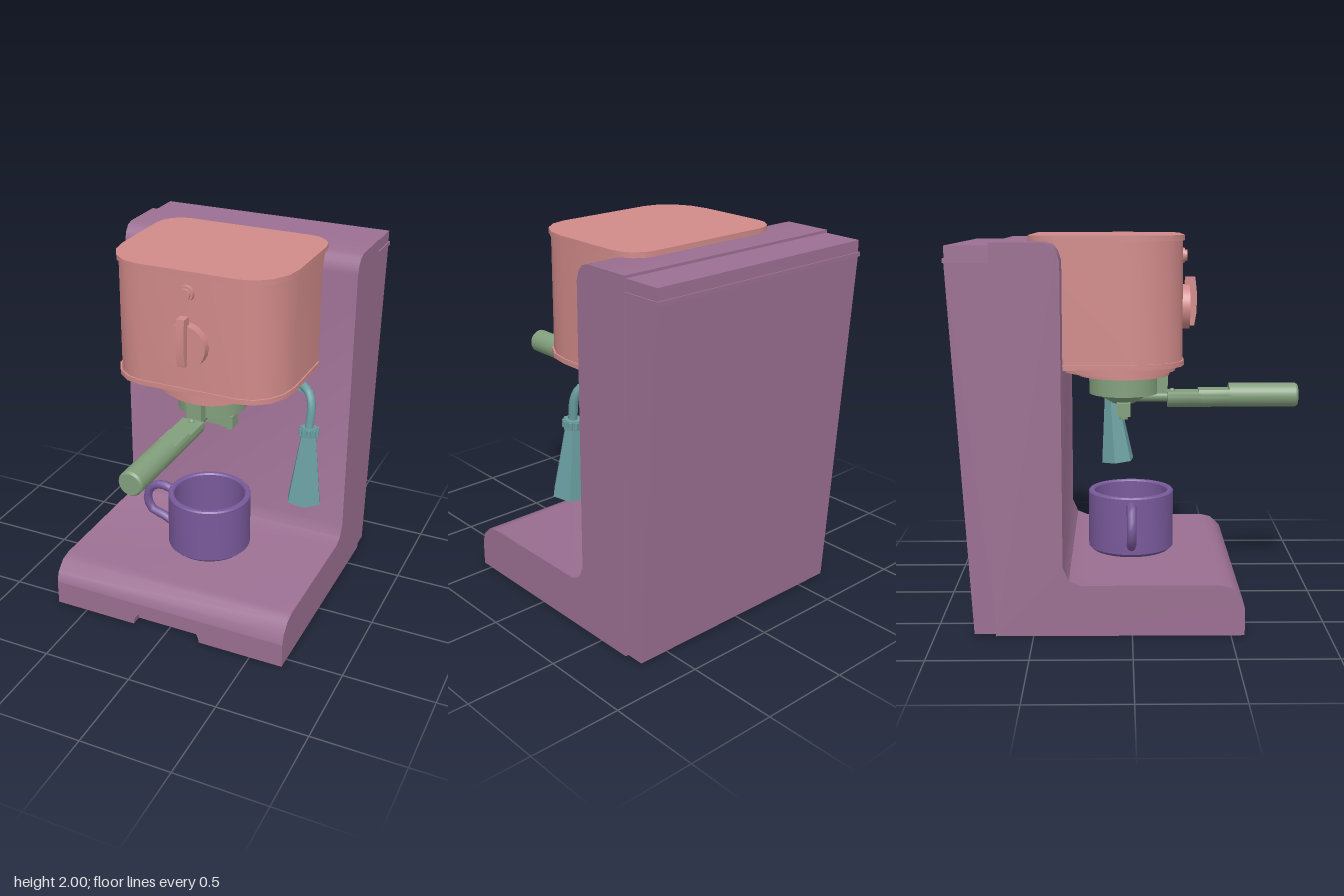
import * as THREE from 'three';
import { toCreasedNormals } from 'three/addons/utils/BufferGeometryUtils.js';

const mat = (color, extra = {}) => new THREE.MeshStandardMaterial({ color, ...extra });
const MAUVE = mat(0x9b6f92), CORAL = mat(0xd08a89), GREEN = mat(0x829f7c);
const TEAL = mat(0x6a9ea0), TEAL_FLAT = mat(0x6a9ea0, { flatShading: true });
const VIOLET = mat(0x78599a, { side: THREE.DoubleSide });

const V = (x, y, z) => new THREE.Vector3(x, y, z);

function add(parent, name, geometry, material, x = 0, y = 0, z = 0) {
  const mesh = new THREE.Mesh(geometry, material);
  mesh.name = name;
  mesh.position.set(x, y, z);
  parent.add(mesh);
  return mesh;
}

function group(parent, name) {
  const g = new THREE.Group();
  g.name = name;
  parent.add(g);
  return g;
}

const toShape = (pts) => new THREE.Shape(pts.map(([a, b]) => new THREE.Vector2(a, b)));
const extrude = (shape, depth) =>
  toCreasedNormals(new THREE.ExtrudeGeometry(shape, { depth, bevelEnabled: false, curveSegments: 10 }), 0.7);

// Side profile of [z, y] points, extruded across x and centred
const sideProfile = (pts, width) =>
  extrude(toShape(pts.map(([z, y]) => [-z, y])), width).translate(0, 0, -width / 2).rotateY(Math.PI / 2);

// Cylinder standing on y0, or lying along z from z0
const upright = (r0, r1, y0, y1, n = 32) =>
  new THREE.CylinderGeometry(r1, r0, y1 - y0, n).translate(0, (y0 + y1) / 2, 0);
const forward = (r, z0, z1, n = 28) =>
  new THREE.CylinderGeometry(r, r, z1 - z0, n).rotateX(Math.PI / 2).translate(0, 0, (z0 + z1) / 2);
const box = (w, h, d) => new THREE.BoxGeometry(w, h, d);

// Plan of the brew head: large front corners, smaller back corners
function headGeometry(inset, y0, y1) {
  const hw = 0.498 - inset, front = 0.273 - inset, back = -0.525 + inset;
  const pts = [];
  const corner = (sx, sz, r, rz, a0) => {
    const cx = sx * (hw - r), cz = sz > 0 ? front - rz : back + rz;
    for (let i = 0; i <= 4; i++) {
      const a = a0 + (i / 4) * Math.PI / 2;
      pts.push([cx + r * Math.cos(a), -(cz + rz * Math.sin(a))]);
    }
  };
  corner(1, 1, 0.22, 0.26, 0);
  corner(-1, 1, 0.22, 0.26, Math.PI / 2);
  corner(-1, -1, 0.14, 0.15, Math.PI);
  corner(1, -1, 0.14, 0.15, Math.PI * 1.5);
  return extrude(toShape(pts), y1 - y0).rotateX(-Math.PI / 2).translate(0, y0, 0);
}

function buildBody(parent) {
  const g = group(parent, 'body');
  // L-shaped frame, set back at the foot for the arched recess
  add(g, 'frame', sideProfile([
    [0.51, 0], [0.51, 0.14], [0.57, 0.14], [0.555, 0.195], [0.5, 0.25], [0.44, 0.265],
    [-0.26, 0.265], [-0.32, 0.29], [-0.35, 0.36], [-0.35, 1.88], [-0.365, 1.93],
    [-0.39, 1.96], [-0.43, 1.972], [-0.69, 1.972], [-0.69, 0],
  ], 1.37), MAUVE);
  const lip = new THREE.Shape();
  lip.moveTo(-0.685, 0).lineTo(-0.2, 0);
  lip.absellipse(0, 0, 0.2, 0.132, Math.PI, 0, true);
  lip.lineTo(0.685, 0).lineTo(0.685, 0.14).lineTo(-0.685, 0.14);
  add(g, 'archedFrontLip', extrude(lip, 0.06), MAUVE, 0, 0, 0.51);
  // Tapered back cover with its cap
  add(g, 'backCover', sideProfile([[-0.68, 0.01], [-0.8, 0.01], [-0.904, 1.88], [-0.68, 1.88]], 1.355), MAUVE);
  add(g, 'coverSeam', sideProfile([[-0.69, 1.875], [-0.91, 1.875], [-0.91, 1.897], [-0.69, 1.897]], 1.37), MAUVE);
  add(g, 'coverCap', sideProfile([[-0.68, 1.89], [-0.902, 1.89], [-0.902, 1.958], [-0.68, 1.958]], 1.355), MAUVE);
}

function buildHead(parent) {
  const g = group(parent, 'brewHead');
  add(g, 'headShell', headGeometry(0.008, 1.34, 1.99), CORAL);
  add(g, 'bottomRim', headGeometry(0, 1.33, 1.357), CORAL);
  add(g, 'topRim', headGeometry(0, 1.972, 2), CORAL);
  add(g, 'upperCollar', upright(0.313, 0.313, 1.27, 1.34), CORAL, 0, 0, -0.07);
  add(g, 'lowerCollar', upright(0.25, 0.25, 1.243, 1.28), CORAL, 0, 0, -0.04);
  add(g, 'dial', forward(0.12, 0.25, 0.315, 32), CORAL, 0, 1.61);
  add(g, 'dialGrip', sideProfile([
    [0.3, 1.51], [0.342, 1.51], [0.354, 1.58], [0.356, 1.68], [0.346, 1.77], [0.292, 1.77], [0.29, 1.7],
  ], 0.044), CORAL);
  add(g, 'buttonRing', forward(0.042, 0.25, 0.288), CORAL, 0, 1.885);
  add(g, 'button', forward(0.03, 0.28, 0.302), CORAL, 0, 1.885);
}

function buildFilterHolder(parent) {
  const g = group(parent, 'filterHolder');
  add(g, 'basket', upright(0.188, 0.188, 1.14, 1.25), GREEN, 0, 0, -0.04);
  add(g, 'basketFunnel', upright(0.06, 0.15, 1.085, 1.14), GREEN, 0, 0, -0.04);
  add(g, 'frontLug', box(0.085, 0.105, 0.09), GREEN, 0, 1.192, 0.155);
  // Twin spout
  add(g, 'spoutBar', box(0.2, 0.05, 0.07), GREEN, 0, 1.06, -0.04);
  for (const s of [-1, 1]) {
    add(g, 'spoutEnd', box(0.075, 0.07, 0.075), GREEN, s * 0.1, 1.063, -0.04);
    add(g, 'spoutNozzle', upright(0.024, 0.024, 1.01, 1.04, 12), GREEN, s * 0.1, 0, -0.04);
  }
  add(g, 'neck', forward(0.03, 0.02, 0.24, 16), GREEN, 0, 1.12);
  // Handle: round grip, then two sections with flattened tops
  const grip = (name, top, z0, z1) => {
    const a = Math.asin(top / 0.066);
    const s = new THREE.Shape();
    s.absarc(0, 0, 0.066, Math.PI - a, a + Math.PI * 2, false);
    s.closePath();
    add(g, name, extrude(s, z1 - z0), GREEN, 0, 1.126, z0);
  };
  grip('handleRoot', 0.022, 0.2, 0.38);
  grip('handleMiddle', 0.034, 0.37, 0.545);
  add(g, 'handleGrip', forward(0.066, 0.535, 0.9), GREEN, 0, 1.126);
  add(g, 'handleEnd', new THREE.CylinderGeometry(0.057, 0.066, 0.012, 28).rotateX(Math.PI / 2), GREEN, 0, 1.126, 0.906);
  add(g, 'handlePin', new THREE.SphereGeometry(0.017, 12, 8), GREEN, 0, 1.148, 0.225);
}

function buildSteamWand(parent) {
  const g = group(parent, 'steamWand');
  const path = new THREE.CatmullRomCurve3([
    V(0.27, 1.315, -0.34), V(0.34, 1.3, -0.28), V(0.45, 1.28, -0.2),
    V(0.515, 1.255, -0.155), V(0.54, 1.2, -0.13), V(0.54, 1.05, -0.105),
  ]);
  add(g, 'pipe', new THREE.TubeGeometry(path, 20, 0.024, 10), TEAL);
  add(g, 'pipeClip', box(0.06, 0.05, 0.06), TEAL, 0.445, 1.268, -0.2).rotation.set(0, 0.6, -0.5);
  // Knurled collar and faceted bell share a slightly tilted axis
  const tip = group(g, 'wandTip');
  tip.position.set(0.54, 1.05, -0.11);
  tip.rotation.x = -0.09;
  add(tip, 'collar', upright(0.046, 0.046, -0.025, 0.025, 20), TEAL);
  for (let i = 0; i < 10; i++) {
    const a = (i / 10) * Math.PI * 2;
    add(tip, 'collarRib', upright(0.012, 0.012, -0.02, 0.02, 8), TEAL, 0.045 * Math.cos(a), 0, 0.045 * Math.sin(a));
  }
  add(tip, 'bell', new THREE.CylinderGeometry(0.045, 0.1, 0.39, 6).rotateY(0.35).translate(0, -0.215, 0), TEAL_FLAT);
}

function buildCup(parent) {
  const g = group(parent, 'cup');
  const profile = [
    [0, 0.267], [0.215, 0.267], [0.234, 0.285], [0.234, 0.592], [0.227, 0.6],
    [0.207, 0.6], [0.2, 0.592], [0.2, 0.31], [0.18, 0.295], [0, 0.295],
  ].map(([r, y]) => new THREE.Vector2(r, y));
  add(g, 'cupBowl', toCreasedNormals(new THREE.LatheGeometry(profile, 36), 0.6), VIOLET);
  const loop = new THREE.CatmullRomCurve3([
    V(-0.215, 0.54, 0), V(-0.27, 0.568, 0), V(-0.34, 0.562, 0), V(-0.385, 0.52, 0),
    V(-0.396, 0.45, 0), V(-0.365, 0.39, 0), V(-0.3, 0.37, 0), V(-0.215, 0.325, 0),
  ]);
  add(g, 'cupHandle', new THREE.TubeGeometry(loop, 12, 0.026, 8), VIOLET);
}

export function createModel() {
  const model = new THREE.Group();
  model.name = 'espressoMachine';
  buildBody(model);
  buildHead(model);
  buildFilterHolder(model);
  buildSteamWand(model);
  buildCup(model);
  return model;
}
